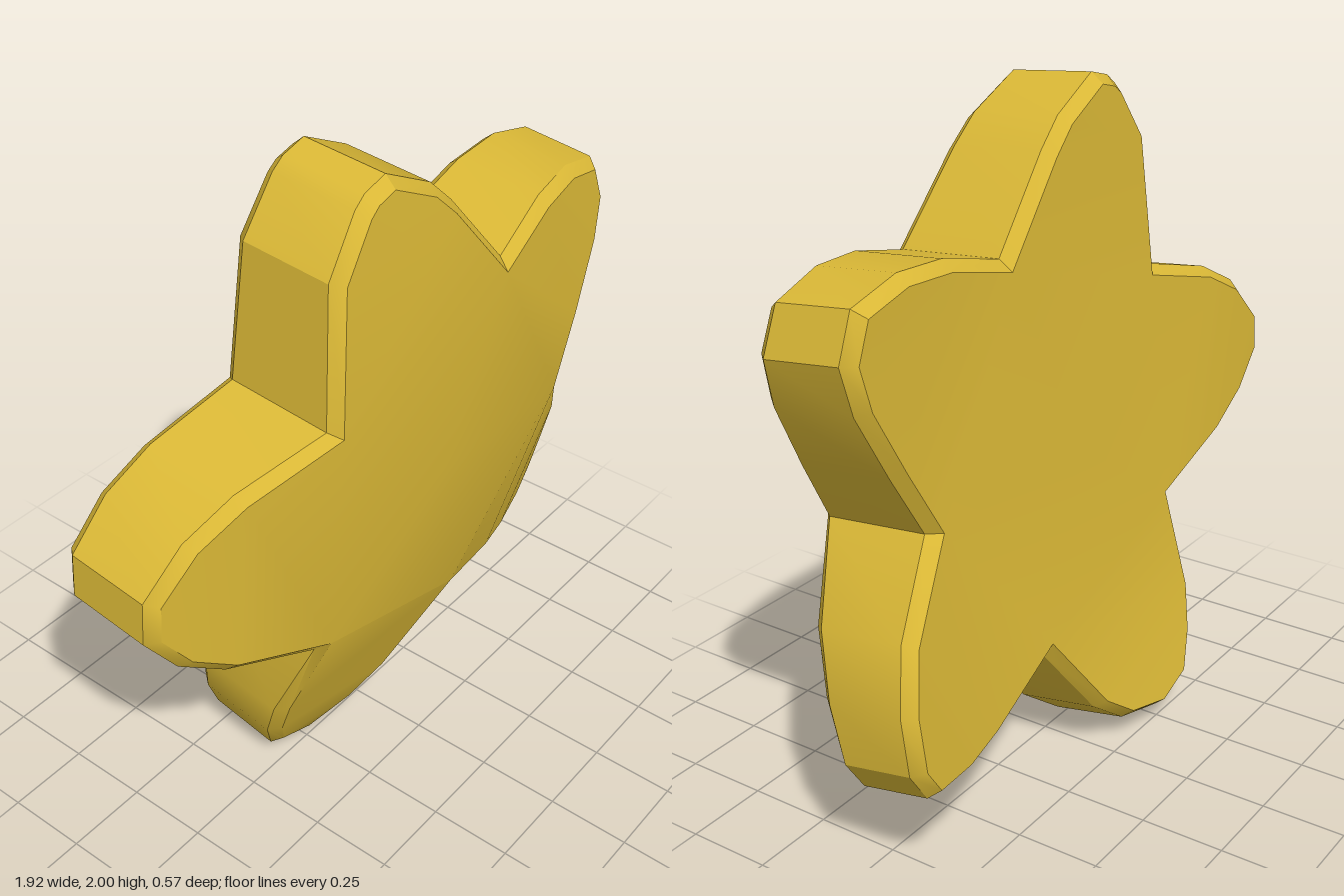
import * as THREE from 'three';
import { toCreasedNormals } from 'three/addons/utils/BufferGeometryUtils.js';

const gold = new THREE.MeshStandardMaterial({ color: 0xdab836 });
gold.name = 'gold';

// Each arm, clockwise: valley before it [x, y, front z, back z], six rim points, tip front/back z
const arms = [
  { valley: [-0.41, 1.39, 0.265, -0.12], tip: [0.235, -0.09],
    rim: [[-0.37, 1.8], [-0.26, 1.95], [-0.22, 1.98], [-0.14, 2], [0.03, 1.91], [0.11, 1.83]] },
  { valley: [0.31, 1.58, 0.285, -0.1], tip: [0.19, -0.11],
    rim: [[0.56, 1.645], [0.74, 1.655], [0.91, 1.61], [0.96, 1.48], [0.92, 1.34], [0.81, 1.14]] },
  { valley: [0.7, 0.95, 0.245, -0.14], tip: [0.03, -0.25],
    rim: [[0.88, 0.73], [0.93, 0.55], [0.925, 0.38], [0.86, 0.28], [0.69, 0.265], [0.54, 0.29]] },
  { valley: [0.24, 0.39, 0.19, -0.18], tip: [0, -0.285],
    rim: [[0.05, 0.13], [-0.07, 0.04], [-0.24, 0.005], [-0.38, 0.06], [-0.44, 0.19], [-0.47, 0.34]] },
  { valley: [-0.44, 0.64, 0.235, -0.17], tip: [0.12, -0.19],
    rim: [[-0.73, 0.75], [-0.87, 0.85], [-0.96, 0.98], [-0.95, 1.11], [-0.83, 1.24], [-0.68, 1.32]] },
];
const BEVEL = 0.035;
const lerp = THREE.MathUtils.lerp;

// Rim of the star; depth blends from the valleys out to each bent tip
function makeOutline() {
  const out = [];
  arms.forEach((arm, a) => {
    const v0 = arm.valley, v1 = arms[(a + 1) % 5].valley;
    const base = new THREE.Vector2((v0[0] + v1[0]) / 2, (v0[1] + v1[1]) / 2);
    const axis = new THREE.Vector2(v0[1] - v1[1], v1[0] - v0[0]).normalize();
    const reach = arm.rim.map(([x, y]) => new THREE.Vector2(x, y).sub(base).dot(axis));
    const far = Math.max(...reach);
    out.push({ x: v0[0], y: v0[1], f: v0[2], b: v0[3] });
    arm.rim.forEach(([x, y], i) => {
      const t = THREE.MathUtils.clamp(reach[i] / far, 0, 1), s = (i + 1) / 7;
      out.push({
        x, y,
        f: lerp(lerp(v0[2], v1[2], s), arm.tip[0], t),
        b: lerp(lerp(v0[3], v1[3], s), arm.tip[1], t),
      });
    });
  });
  return out;
}

// Mitred inward offset of a clockwise rim
function insetPoint(pts, i, d) {
  const n = pts.length, p = pts[i], q = pts[(i + n - 1) % n], r = pts[(i + 1) % n];
  const n1 = new THREE.Vector2(p.y - q.y, q.x - p.x).normalize();
  const n2 = new THREE.Vector2(r.y - p.y, p.x - r.x).normalize();
  const m = n1.clone().add(n2).multiplyScalar(d / (1 + n1.dot(n2)));
  return [p.x + m.x, p.y + m.y];
}

function makeStar() {
  const rim = makeOutline(), n = rim.length, pos = [];
  const tri = (...p) => p.forEach((v) => pos.push(...v));
  const quad = (a, b, c, d) => { tri(a, b, c); tri(a, c, d); };

  // The bent sides lean: front lower at the top, back higher at the bottom
  const frontY = (y) => y - 0.01 * y;
  const backY = (y) => y + 0.045 * (1 - y / 2);
  const inner = rim.map((_, i) => insetPoint(rim, i, BEVEL * 0.85));
  const loops = [
    rim.map((p, i) => [inner[i][0], frontY(inner[i][1]), p.f]),
    rim.map((p) => [p.x, frontY(p.y), p.f - BEVEL]),
    rim.map((p) => [p.x, backY(p.y), p.b + BEVEL]),
    rim.map((p, i) => [inner[i][0], backY(inner[i][1]), p.b]),
  ];

  // Bevels and side wall
  for (let k = 0; k < 3; k++) {
    for (let i = 0; i < n; i++) {
      const j = (i + 1) % n;
      quad(loops[k][i], loops[k][j], loops[k + 1][j], loops[k + 1][i]);
    }
  }

  // Front and back: five central wedges plus strips across every arm
  const face = (loop, centre, front) => {
    const put = (a, b, c) => (front ? tri(a, c, b) : tri(a, b, c));
    for (let a = 0; a < 5; a++) {
      const arm = Array.from({ length: 8 }, (_, i) => loop[(a * 7 + i) % n]);
      put(centre, arm[0], arm[7]);
      for (let i = 0; i < 3; i++) {
        put(arm[i], arm[i + 1], arm[6 - i]);
        put(arm[i], arm[6 - i], arm[7 - i]);
      }
    }
  };
  face(loops[0], [0.06, 1, 0.272], true);
  face(loops[3], [0.06, 1, -0.155], false);

  const geo = new THREE.BufferGeometry();
  geo.setAttribute('position', new THREE.Float32BufferAttribute(pos, 3));
  return toCreasedNormals(geo, 0.5);
}

export function createModel() {
  const group = new THREE.Group();
  group.name = 'starfish';
  const body = new THREE.Mesh(makeStar(), gold);
  body.name = 'starBody';
  group.add(body);
  return group;
}
